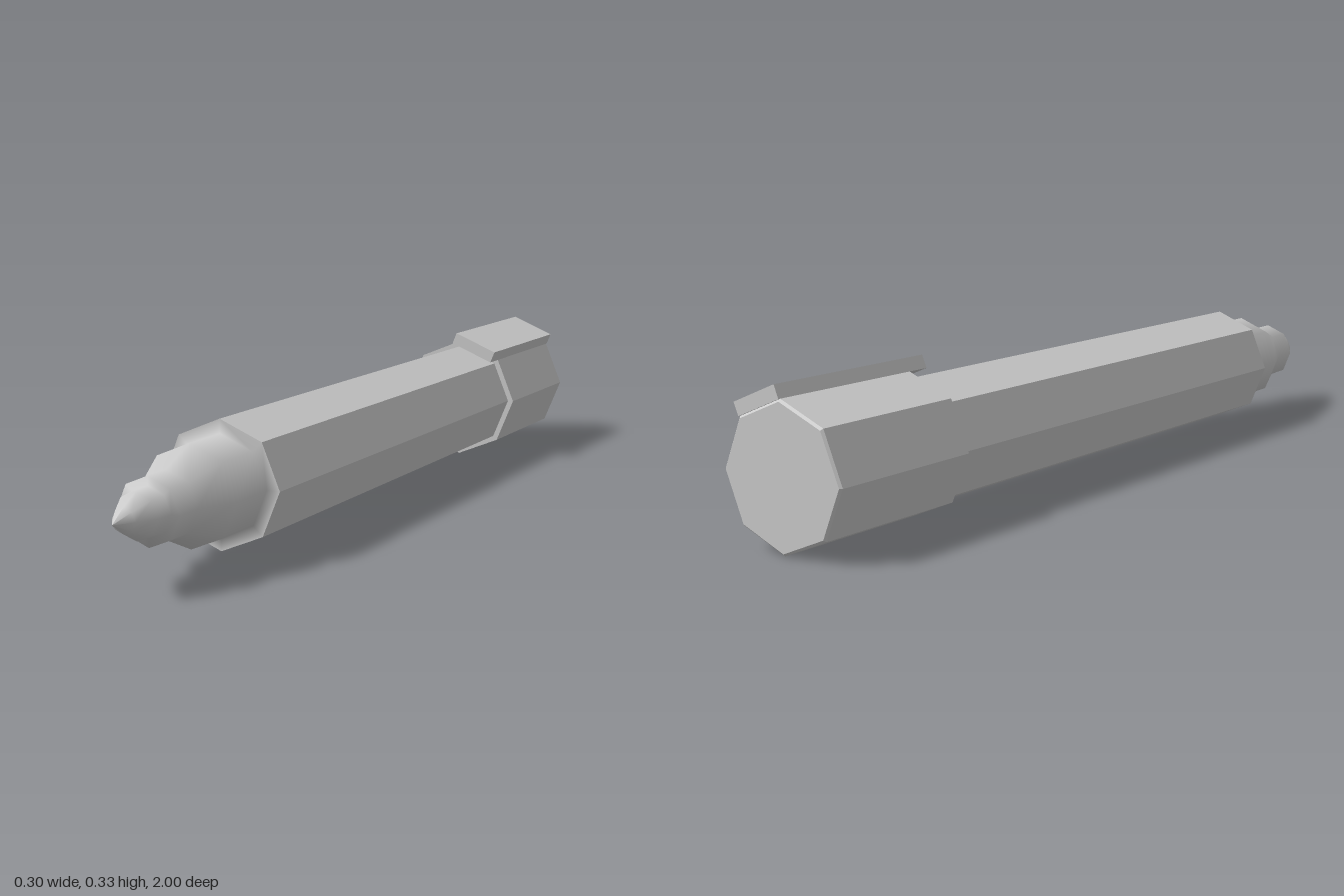
import * as THREE from 'three';

const SIDES = 8;
const AXIS_Y = 0.152;

export function createModel() {
  const group = new THREE.Group();
  const flat = new THREE.MeshStandardMaterial({ color: 0xcccccc, flatShading: true });
  const smooth = new THREE.MeshStandardMaterial({ color: 0xcccccc });

  const add = (name, geometry, material) => {
    const mesh = new THREE.Mesh(geometry, material);
    mesh.name = name;
    mesh.position.y = AXIS_Y;
    group.add(mesh);
    return mesh;
  };

  // Faceted section along z, from radius rBack at zBack to rFront at zFront
  const prism = (name, rBack, rFront, zBack, zFront, open = false) => {
    const g = new THREE.CylinderGeometry(rFront, rBack, zFront - zBack, SIDES, 1, open);
    g.rotateX(Math.PI / 2).translate(0, 0, (zBack + zFront) / 2);
    return add(name, g, flat);
  };

  // Barrel and cap, with a slight bevel on the cap's end
  prism('barrel', 0.137, 0.137, -0.64, 0.615, true);
  prism('cap', 0.151, 0.151, -0.995, -0.628);
  prism('capEndBevel', 0.146, 0.151, -1, -0.995);

  // Smoothly shaded nose and writing tip, starting at the barrel's rim
  const profile = [
    [0.137, 0.615], [0.107, 0.615], [0.107, 0.73], [0.07, 0.815], [0.07, 0.88],
    [0.051, 0.88], [0.048, 0.92], [0.026, 0.962], [0, 1],
  ].map(([r, z]) => new THREE.Vector2(r, z));
  add('noseAndTip', new THREE.LatheGeometry(profile, SIDES).rotateX(Math.PI / 2), smooth);

  // Clip lying on the upper left facet of the cap and reaching over the barrel
  const width = 2 * 0.151 * Math.sin(Math.PI / SIDES);
  const apothem = 0.151 * Math.cos(Math.PI / SIDES);
  const clip = new THREE.BoxGeometry(width, 0.029, 0.425);
  clip.translate(0, apothem + 0.0145, -0.7875).rotateZ(-Math.PI / SIDES);
  add('clip', clip, flat);

  return group;
}
